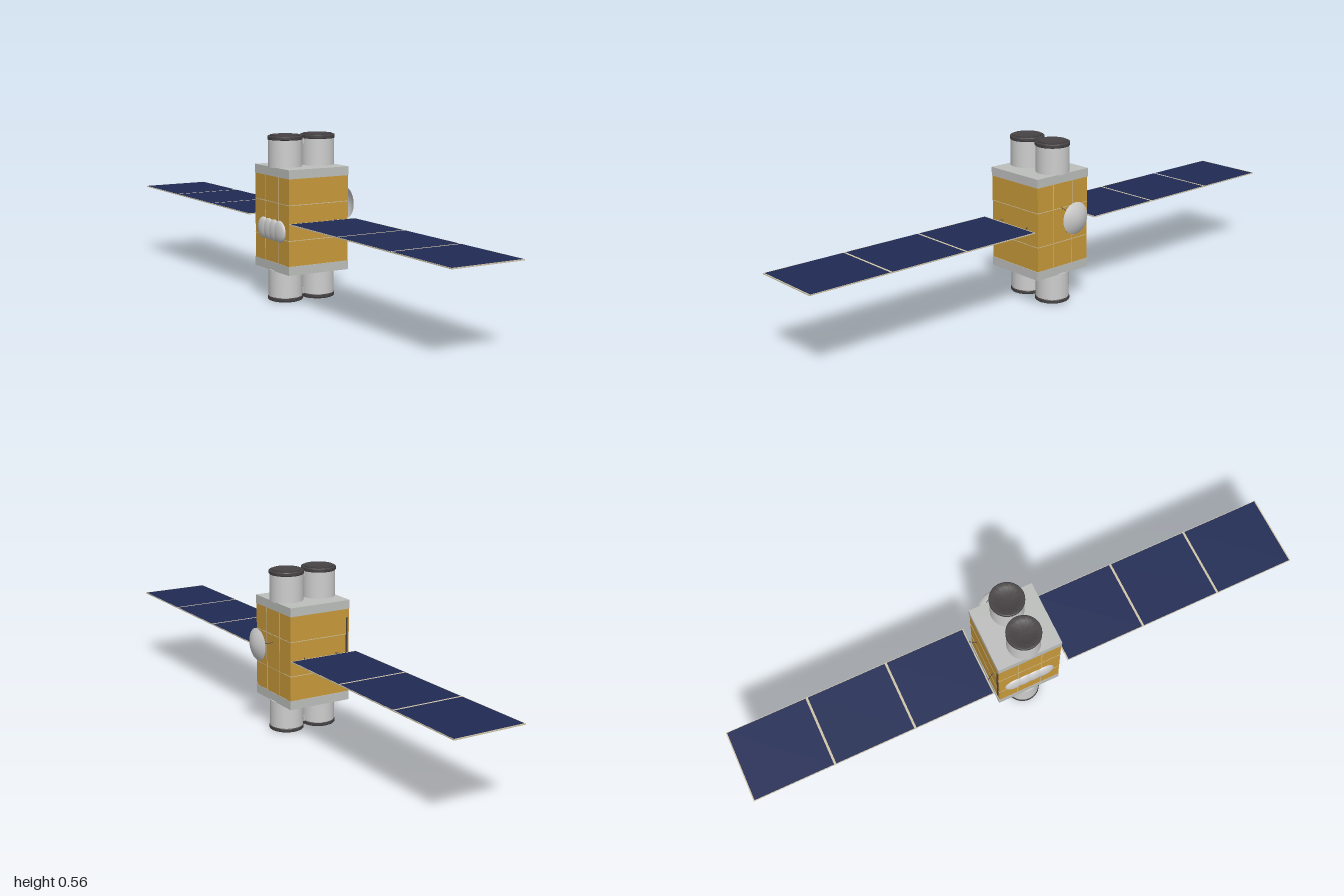
import * as THREE from 'three';
import { toCreasedNormals } from 'three/addons/utils/BufferGeometryUtils.js';

const mat = (name, color, side = THREE.FrontSide) => {
  const m = new THREE.MeshStandardMaterial({ color, side });
  m.name = name;
  return m;
};

export function createModel() {
  const gold = mat('gold foil', 0xc8993a);
  const grey = mat('deck grey', 0xbdbfbd);
  const pale = mat('pale metal', 0xcdcdcd, THREE.DoubleSide);
  const dark = mat('charcoal', 0x464244);
  const navy = mat('solar navy', 0x202b55);
  const trim = mat('seam tan', 0xcfc4a8);

  const root = new THREE.Group();
  root.name = 'satellite';
  const CX = -0.033, CY = 0.285;

  const add = (name, geo, material, x = 0, y = 0, z = 0, parent = root) => {
    const m = new THREE.Mesh(geo, material);
    m.name = name;
    m.position.set(x, y, z);
    parent.add(m);
    return m;
  };
  const box = (name, w, h, d, material, x, y, z, parent) =>
    add(name, new THREE.BoxGeometry(w, h, d), material, x, y, z, parent);
  const lathe = (pts, seg = 40) =>
    toCreasedNormals(new THREE.LatheGeometry(pts.map(p => new THREE.Vector2(...p)), seg), 0.6);
  // Thin rod between two points
  const rod = (name, a, b, r, material) => {
    const A = new THREE.Vector3(...a), B = new THREE.Vector3(...b);
    const dir = B.clone().sub(A);
    const m = add(name, new THREE.CylinderGeometry(r, r, dir.length(), 8), material);
    m.position.copy(A).add(B).multiplyScalar(0.5);
    m.quaternion.setFromUnitVectors(new THREE.Vector3(0, 1, 0), dir.normalize());
  };
  // Shallow dome profile, rim at y = 0 and apex at y = h
  const dome = (r, h, curve) => {
    const pts = [];
    for (let i = 0; i <= 10; i++) {
      const a = (i / 10) * Math.PI / 2;
      const rr = i === 10 ? 0 : r * Math.cos(a);
      pts.push(new THREE.Vector2(rr, curve === 'round' ? h * Math.sin(a) : h * (1 - (rr / r) ** 2)));
    }
    return new THREE.LatheGeometry(pts, 36);
  };

  // Foil body between two grey decks
  box('foilBody', 0.229, 0.29, 0.226, gold, CX, CY, 0);
  for (const s of [-1, 1]) box('deck', 0.231, 0.03, 0.23, grey, CX, CY + s * 0.16, 0);

  // Foil seams: two bands around the body, two uprights on each side face
  for (const y of [0.225, 0.343]) box('seamBand', 0.2305, 0.002, 0.2275, trim, CX, y, 0);
  for (const s of [-1, 1])
    for (const z of [-0.043, 0.043])
      box('seamUpright', 0.001, 0.29, 0.002, trim, CX + s * 0.1148, CY, z);
  // Dark conduit on the rear face
  box('rearConduit', 0.005, 0.23, 0.004, dark, -0.138, CY, -0.1145);

  // Four canisters, two on top and two mirrored below
  const barrel = new THREE.CylinderGeometry(0.057, 0.057, 0.095, 40);
  const collar = lathe([
    [0.0555, 0.09], [0.0575, 0.09], [0.059, 0.092], [0.059, 0.101], [0.057, 0.103],
    [0.05, 0.103], [0.05, 0.106], [0.047, 0.106], [0.04, 0.103], [0.02, 0.1], [0, 0.099],
  ]);
  for (const up of [true, false])
    for (const x of [-0.096, 0.03]) {
      const g = new THREE.Group();
      g.name = up ? 'upperCanister' : 'lowerCanister';
      g.position.set(x, up ? 0.46 : 0.11, 0);
      if (!up) g.rotation.x = Math.PI;
      add('barrel', barrel, pale, 0, 0.0455, 0, g);
      add('collar', collar, dark, 0, 0, 0, g);
      box('latch', 0.006, 0.02, 0.012, pale, 0.056 * (x < 0 ? 1 : -1), 0.083, 0, g);
      root.add(g);
    }

  // Dish on the left side with three feed rods
  const dish = add('dish', dome(0.055, 0.017, 'shallow'), pale, 0.143, 0.32, 0);
  dish.rotation.z = -Math.PI / 2;
  for (const deg of [45, 165, 285]) {
    const a = deg * Math.PI / 180;
    rod('feedRod', [0.115, 0.32 + 0.056 * Math.sin(a), 0.056 * Math.cos(a)],
      [0.153, 0.318, 0], 0.001, dark);
  }

  // Row of four overlapping domes on the right side
  for (let i = 0; i < 4; i++) {
    const d = add('sensorDome', dome(0.037, 0.0125, 'round'), pale, -0.1475, 0.249, (i - 1.5) * 0.036);
    d.rotation.z = Math.PI / 2;
  }

  // Solar wings, three panels each, joined by pale hinge bars
  for (const s of [-1, 1]) {
    const wing = new THREE.Group();
    wing.name = s > 0 ? 'frontWing' : 'rearWing';
    root.add(wing);
    const z0 = 0.137, pitch = (1 - z0) / 3;
    for (let i = 0; i < 3; i++) {
      const zc = s * (z0 + pitch * (i + 0.5));
      box('solarPanel', 0.25, 0.0036, pitch - 0.008, navy, CX, CY, zc, wing);
      for (const e of [-1, 1]) {
        box('panelEdge', 0.002, 0.0034, pitch, trim, CX + e * 0.126, CY, zc, wing);
        box('hingeBar', 0.254, 0.0034, 0.004, trim, CX, CY, zc + e * (pitch / 2 - 0.002), wing);
      }
    }
    // Splayed struts from body to wing
    for (const e of [-1, 1])
      rod('wingStrut', [CX + e * 0.06, CY - 0.002, s * 0.111],
        [CX + e * 0.077, CY - 0.002, s * 0.14], 0.0016, dark);
  }
  return root;
}
